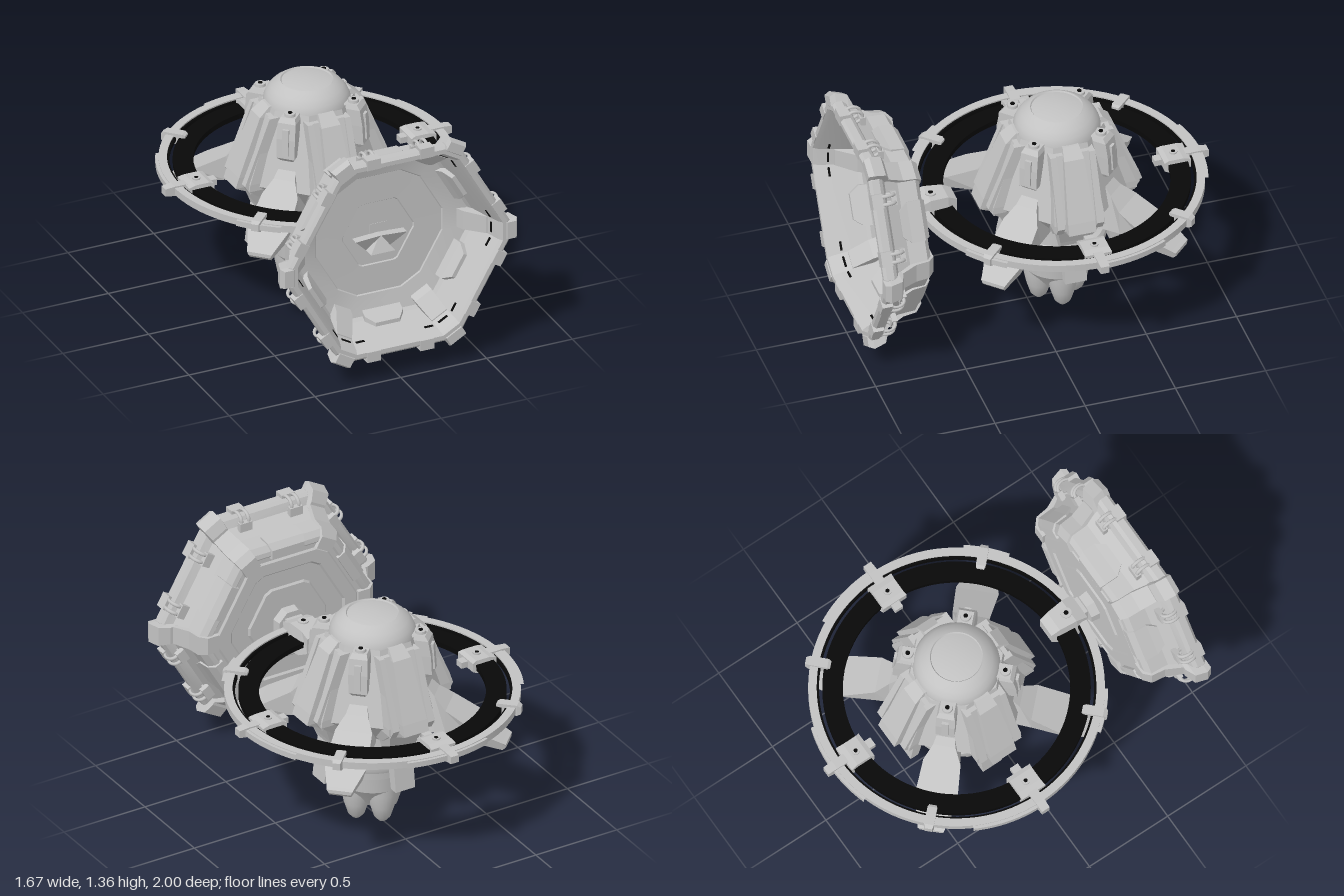
import * as THREE from 'three';
import { toCreasedNormals } from 'three/addons/utils/BufferGeometryUtils.js';

const grey = new THREE.MeshStandardMaterial({ color: 0xc2c2c2 });
grey.name = 'hull grey';
const black = new THREE.MeshStandardMaterial({ color: 0x080808 });
black.name = 'black';

const V = (x, y, z) => new THREE.Vector3(x, y, z);
const rad = THREE.MathUtils.degToRad;

function add(parent, name, geo, mat = grey, x = 0, y = 0, z = 0) {
  const m = new THREE.Mesh(geo, mat);
  m.name = name;
  m.position.set(x, y, z);
  parent.add(m);
  return m;
}
function sub(parent, name) {
  const g = new THREE.Group();
  g.name = name;
  parent.add(g);
  return g;
}
const box = (w, h, d) => new THREE.BoxGeometry(w, h, d);

// Flat-shaded skin over sections, each counter-clockwise seen from the last one
function loft(sections, caps = true) {
  const out = [];
  const tri = (a, b, c) => [a, b, c].forEach(p => out.push(p.x, p.y, p.z));
  const n = sections[0].length;
  for (let i = 0; i < sections.length - 1; i++) {
    const p = sections[i], q = sections[i + 1];
    for (let k = 0; k < n; k++) {
      const l = (k + 1) % n;
      tri(p[k], p[l], q[l]);
      tri(p[k], q[l], q[k]);
    }
  }
  if (caps) {
    const a = sections[0], b = sections[sections.length - 1];
    for (let k = 1; k < n - 1; k++) {
      tri(a[0], a[k + 1], a[k]);
      tri(b[0], b[k], b[k + 1]);
    }
  }
  const g = new THREE.BufferGeometry();
  g.setAttribute('position', new THREE.Float32BufferAttribute(out, 3));
  g.computeVertexNormals();
  return g;
}
// Horizontal section [y, inner, outer, inner half width, outer half width]
const slab = ([y, a, b, h, w = h]) => [V(a, y, h), V(b, y, w), V(b, y, -w), V(a, y, -h)];
// Upright section [radius, bottom, top, bottom half width, top half width]
const rib = ([r, y0, y1, h, w = h]) => [V(r, y0, h), V(r, y0, -h), V(r, y1, -w), V(r, y1, w)];
// Section facing z: [z, inner, outer, half width]
const plate = ([z, a, b, h]) => [V(a, -h, z), V(b, -h, z), V(b, h, z), V(a, h, z)];
const slabs = rows => loft(rows.map(slab));
const ribs = rows => loft(rows.map(rib));
const plates = rows => loft(rows.map(plate));

const lathe = (pts, n = 64, crease = 0.5, start = 0, len = Math.PI * 2) =>
  toCreasedNormals(new THREE.LatheGeometry(pts.map(p => new THREE.Vector2(...p)), n, start, len), crease);
const band = (r0, r1, y0, y1, start, len) =>
  lathe([[r0, y0], [r1, y0], [r1, y1], [r0, y1], [r0, y0]], 96, 0.5, start, len);

function buildBody(body) {
  // Central hull: cone, dome, waist and collars
  add(body, 'hullCone', lathe([[0.2, 0.55], [0.29, 0.64], [0.37, 0.72], [0.25, 1.13]], 8, 0.1)).rotation.y = Math.PI / 8;
  add(body, 'dome', lathe([[0.2, 1.08], [0.232, 1.1], [0.23, 1.125], [0.215, 1.16], [0.19, 1.19], [0.155, 1.215],
    [0.14, 1.222], [0.135, 1.215], [0.1, 1.223], [0, 1.23]], 64, 0.6));
  add(body, 'lowerHull', lathe([[0, 0.08], [0.09, 0.09], [0.14, 0.16], [0.185, 0.22], [0.195, 0.31], [0.21, 0.315], [0.215, 0.375],
    [0.255, 0.38], [0.262, 0.4], [0.262, 0.44], [0.25, 0.46], [0.225, 0.47], [0.22, 0.58], [0.3, 0.68]]));

  for (let k = 0; k < 4; k++) {
    // Side panel with stepped edges and a raised spine
    const side = sub(body, 'sidePanel');
    side.rotation.y = k * Math.PI / 2;
    add(side, 'panel', slabs([[0.6, 0.15, 0.27, 0.11], [0.7, 0.2, 0.4, 0.14], [0.74, 0.2, 0.395, 0.14], [1.1, 0.15, 0.265, 0.11]]));
    add(side, 'panelSpine', slabs([[0.64, 0.2, 0.33, 0.06], [0.7, 0.2, 0.45, 0.075], [0.76, 0.2, 0.43, 0.075],
      [1.08, 0.15, 0.3, 0.055], [1.13, 0.15, 0.24, 0.045]]));
    for (const s of [-1, 1]) {
      const strip = add(side, 'panelStrip', slabs([[0.68, 0.2, 0.39, 0.02], [0.73, 0.2, 0.42, 0.02], [1.1, 0.15, 0.275, 0.016]]));
      strip.position.z = s * 0.108;
    }
    // Hanging fin below the panel
    add(side, 'finBracket', slabs([[0.47, 0.2, 0.28, 0.06], [0.56, 0.18, 0.31, 0.08], [0.68, 0.18, 0.36, 0.11]]));
    add(side, 'hangingFin', slabs([[0.3, 0.285, 0.335, 0.06], [0.46, 0.255, 0.315, 0.06], [0.58, 0.2, 0.29, 0.06]]));
    // Tapered nozzle lobe
    add(side, 'nozzleLobe', lathe([[0, 0], [0.022, 0.004], [0.045, 0.03], [0.067, 0.1], [0.083, 0.18], [0.09, 0.3], [0, 0.31]], 24, 0.7),
      grey, 0.1, 0, 0);

    // Swept wing and pod on the diagonal
    const diag = sub(body, 'wingAndPod');
    diag.rotation.y = (k + 0.5) * Math.PI / 2;
    add(diag, 'wing', ribs([[0.2, 0.56, 0.95, 0.07, 0.015], [0.35, 0.58, 0.79, 0.085, 0.06],
      [0.42, 0.585, 0.73, 0.09, 0.1], [0.6, 0.545, 0.625, 0.09, 0.115], [0.72, 0.51, 0.56, 0.06, 0.075], [0.74, 0.53, 0.55, 0.06, 0.07]]));
    add(diag, 'wingKeel', ribs([[0.18, 0.5, 0.7, 0.04], [0.34, 0.56, 0.7, 0.035], [0.5, 0.545, 0.62, 0.03]]));
    add(diag, 'pod', slabs([[0.885, 0.26, 0.31, 0.035], [0.91, 0.22, 0.335, 0.05], [1.02, 0.2, 0.33, 0.052],
      [1.11, 0.18, 0.315, 0.05], [1.135, 0.2, 0.295, 0.04]]));
    add(diag, 'podCap', new THREE.CylinderGeometry(0.028, 0.032, 0.03, 16), grey, 0.262, 1.135, 0);
    add(diag, 'podPort', new THREE.CylinderGeometry(0.012, 0.012, 0.006, 12), black, 0.262, 1.152, 0);
    add(diag, 'podSpine', slabs([[0.93, 0.25, 0.345, 0.018], [1.08, 0.25, 0.335, 0.018]]));
  }
}

function buildRing(ring) {
  add(ring, 'innerBand', band(0.6, 0.708, -0.018, 0.012), black);
  add(ring, 'blackLine', band(0.726, 0.738, -0.012, 0.012), black);
  add(ring, 'outerBand', band(0.738, 0.783, -0.02, 0.02));
  // Outer armour arcs: [centre, length] in degrees
  for (const [a, len] of [[104, 28], [180, 36], [256, 28], [44, 18], [-44, 18]]) {
    add(ring, 'armourArc', band(0.77, 0.8, -0.016, 0.016, rad(a - len / 2), rad(len)));
  }
  for (let k = 0; k < 4; k++) {
    // Bar clamps on the diagonals
    const clamp = sub(ring, 'diagonalClamp');
    clamp.rotation.y = (k + 0.5) * Math.PI / 2;
    add(clamp, 'clampBar', ribs([[0.675, -0.02, 0.025, 0.02], [0.69, -0.028, 0.033, 0.026],
      [0.79, -0.028, 0.033, 0.026], [0.81, -0.02, 0.02, 0.02]]));
    if (k === 3) continue;
    // Brackets at the sides and back
    const bracket = sub(ring, 'ringBracket');
    bracket.rotation.y = k * Math.PI / 2;
    add(bracket, 'bracketBlock', ribs([[0.575, -0.025, 0.025, 0.075], [0.6, -0.036, 0.034, 0.08, 0.07],
      [0.68, -0.036, 0.034, 0.08, 0.07], [0.72, -0.025, 0.025, 0.075]]));
    add(bracket, 'bracketArm', ribs([[0.7, -0.028, 0.028, 0.028], [0.78, -0.028, 0.028, 0.026], [0.835, -0.02, 0.022, 0.024]]));
    add(bracket, 'innerTab', box(0.06, 0.035, 0.05), grey, 0.565, 0, 0);
    add(bracket, 'bolt', new THREE.CylinderGeometry(0.022, 0.022, 0.012, 16), grey, 0.645, 0.036, 0);
    add(bracket, 'boltCentre', new THREE.CylinderGeometry(0.011, 0.011, 0.006, 12), black, 0.645, 0.041, 0);
  }
  // Front coupling that carries the dish
  const front = sub(ring, 'dishCoupling');
  front.rotation.y = -Math.PI / 2;
  add(front, 'couplingBlock', ribs([[0.57, -0.045, 0.045, 0.055], [0.62, -0.07, 0.07, 0.08, 0.06],
    [0.72, -0.075, 0.075, 0.09, 0.07], [0.785, -0.05, 0.05, 0.075]]));
  add(front, 'couplingBolt', new THREE.CylinderGeometry(0.03, 0.03, 0.012, 16), grey, 0.7, 0.075, 0);
  add(front, 'couplingBoltCentre', new THREE.CylinderGeometry(0.013, 0.013, 0.006, 12), black, 0.7, 0.08, 0);
  add(front, 'couplingNeck', box(0.12, 0.1, 0.1), grey, 0.82, 0, 0);
}

// Hexagon with clipped corners, sized by its apothem; spread is half a long side in degrees
function clippedHex(apothem, z, spread = 24.8) {
  const r = apothem / Math.cos(rad(spread)), pts = [];
  for (let k = 0; k < 6; k++) {
    for (const s of [-spread, spread]) {
      const a = rad(30 + 60 * k + s);
      pts.push(V(r * Math.cos(a), r * Math.sin(a), z));
    }
  }
  return pts;
}

function buildDish(dish) {
  // Shell from the back centre, over the rim, to the inner floor
  const profile = [[0.001, 0.69], [0.21, 0.69], [0.22, 0.7], [0.31, 0.7], [0.32, 0.69], [0.385, 0.69], [0.395, 0.7], [0.42, 0.7],
    [0.43, 0.69], [0.455, 0.695], [0.485, 0.72], [0.49, 0.82], [0.53, 0.9], [0.57, 0.92], [0.585, 0.94], [0.585, 0.98], [0.57, 0.995],
    [0.545, 0.995], [0.53, 0.97], [0.475, 0.78], [0.46, 0.76, 23], [0.352, 0.73, 20], [0.347, 0.723, 20],
    [0.186, 0.72, 27], [0.181, 0.713, 27], [0.001, 0.713, 27]];
  add(dish, 'dishShell', toCreasedNormals(loft(profile.map(p => clippedHex(...p)), false), 0.3));

  // Wedge emitter in the middle of the floor: corners [x, y, height]
  const prism = pts => loft([pts.map(([x, y]) => V(x, y, 0.711)), pts.map(([x, y, h]) => V(x, y, 0.711 + h))]);
  add(dish, 'wedgeCentre', prism([[-0.07, -0.095, 0.07], [0.07, -0.095, 0.07], [0, 0, 0.03]]));
  add(dish, 'wedgeFlank', prism([[-0.15, -0.01, 0.05], [-0.07, -0.095, 0.004], [0, 0, 0.05]]));
  add(dish, 'wedgeFlank', prism([[0, 0, 0.05], [0.07, -0.095, 0.004], [0.15, -0.01, 0.05]]));

  // Hub on the back
  const hub = add(dish, 'hub', toCreasedNormals(new THREE.CylinderGeometry(0.1, 0.09, 0.06, 8), 0.3), grey, 0, 0, 0.67);
  hub.rotation.set(Math.PI / 2, Math.PI / 8, 0);

  for (let k = 0; k < 6; k++) {
    // Long side: raised plate, inner slots and two hooked latches
    const side = sub(dish, 'dishSide');
    side.rotation.z = (k + 0.5) * Math.PI / 3;
    add(side, 'sidePlate', plates([[0.685, 0.41, 0.46, 0.1], [0.715, 0.41, 0.492, 0.11], [0.79, 0.45, 0.5, 0.11], [0.84, 0.47, 0.51, 0.07]]));
    for (const s of [-1, 1]) {
      add(side, 'innerSlot', box(0.006, 0.05, 0.012), black, 0.515, s * 0.2, 0.92).rotation.y = 0.28;
      const latch = sub(side, 'latch');
      latch.position.set(0.575, s * 0.155, 0.94);
      add(latch, 'latchBlock', box(0.06, 0.08, 0.06), grey, 0, 0, 0.03);
      add(latch, 'latchFoot', box(0.05, 0.075, 0.03), grey, -0.035, 0, -0.07);
      for (const t of [-0.022, 0.022]) {
        const hook = add(latch, 'latchHook', new THREE.TorusGeometry(0.045, 0.01, 8, 20), grey, -0.005, t, -0.025);
        hook.rotation.x = Math.PI / 2;
        hook.scale.x = 0.8;
      }
    }
    // Corner: lug, back rib and dark slot on the inner wall
    const corner = sub(dish, 'dishCorner');
    corner.rotation.z = k * Math.PI / 3;
    add(corner, 'cornerLug', plates([[0.88, 0.55, 0.61, 0.05], [0.905, 0.57, 0.67, 0.056], [0.97, 0.6, 0.69, 0.056], [1, 0.622, 0.675, 0.05]]));
    add(corner, 'cornerRib', plates([[0.68, 0.43, 0.5, 0.05], [0.715, 0.43, 0.54, 0.055], [0.79, 0.46, 0.55, 0.055], [0.89, 0.55, 0.6, 0.05]]));
    add(corner, 'innerSlot', box(0.006, 0.06, 0.012), black, 0.565, 0, 0.92).rotation.y = 0.3;
  }
}

export function createModel() {
  const model = new THREE.Group();
  model.name = 'orbitalStation';
  const body = sub(model, 'body');
  body.position.z = -0.165;
  buildBody(body);
  const ring = sub(model, 'ring');
  ring.position.set(0, 0.738, -0.165);
  buildRing(ring);
  const dish = sub(model, 'dish');
  dish.position.y = 0.735;
  buildDish(dish);
  return model;
}
